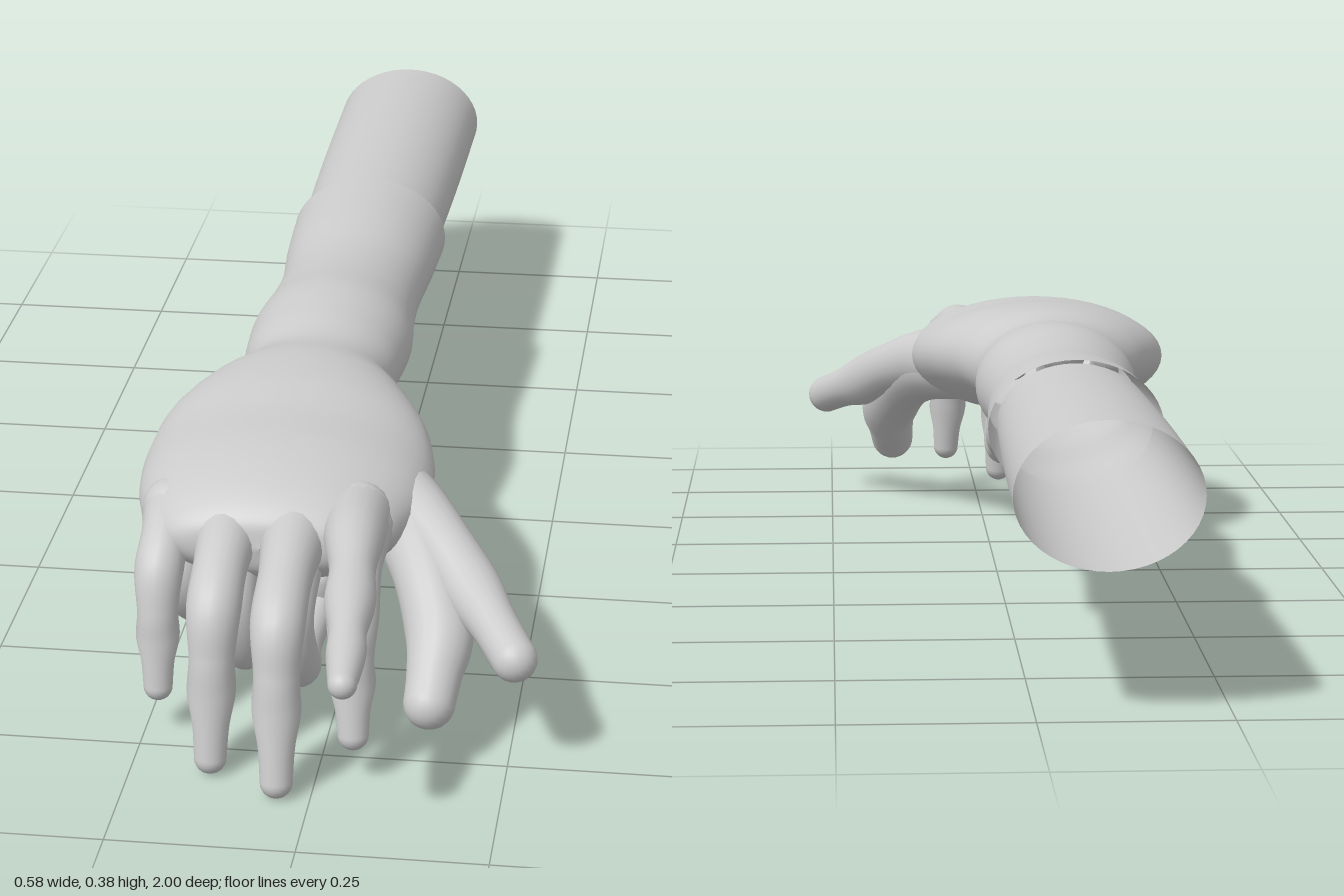
import * as THREE from 'three';
import { mergeGeometries } from 'three/addons/utils/BufferGeometryUtils.js';

const material = new THREE.MeshStandardMaterial({ color: 0xcccccc, side: THREE.DoubleSide });
const spline = (pts) => new THREE.CatmullRomCurve3(pts, false, 'catmullrom', 0.5);
const V = (x, y, z) => new THREE.Vector3(x, y, z);

// Smooth skin through sections [z, left x, right x, bottom y, top y]
function loft(sections, rows, cols = 48) {
  const low = spline(sections.map(([z, x0, , y0]) => V(x0, y0, z)));
  const high = spline(sections.map(([z, , x1, , y1]) => V(x1, y1, z)));
  const pos = [], idx = [];
  for (let i = 0; i <= rows; i++) {
    const a = low.getPoint(i / rows), b = high.getPoint(i / rows);
    for (let j = 0; j < cols; j++) {
      const t = (j / cols) * Math.PI * 2;
      const x = (a.x + b.x) / 2 + Math.cos(t) * (b.x - a.x) / 2;
      const y = (a.y + b.y) / 2 + Math.sin(t) * (b.y - a.y) / 2;
      pos.push(x, y, a.z);
      if (i < rows) {
        const p = i * cols + j, q = i * cols + (j + 1) % cols;
        idx.push(p, q, q + cols, p, q + cols, p + cols);
      }
    }
  }
  const g = new THREE.BufferGeometry();
  g.setAttribute('position', new THREE.Float32BufferAttribute(pos, 3));
  g.setIndex(idx);
  g.computeVertexNormals();
  return g;
}

// Round digit of varying thickness through points [x, y, z, radius], with rounded ends
function digit(points) {
  const path = spline(points.map(([x, y, z]) => V(x, y, z)));
  const girth = spline(points.map((p) => V(p[3], 0, 0)));
  const rows = 36, cols = 20;
  const tube = new THREE.TubeGeometry(path, rows, 1, cols, false);
  const pos = tube.attributes.position, v = new THREE.Vector3();
  for (let i = 0; i <= rows; i++) {
    const c = path.getPointAt(i / rows);
    const r = girth.getPoint(path.getUtoTmapping(i / rows)).x;
    for (let j = 0; j <= cols; j++) {
      const k = i * (cols + 1) + j;
      v.fromBufferAttribute(pos, k).sub(c).multiplyScalar(r).add(c);
      pos.setXYZ(k, v.x, v.y, v.z);
    }
  }
  const caps = [points[0], points[points.length - 1]].map(([x, y, z, r]) =>
    new THREE.SphereGeometry(r, 20, 14).translate(x, y, z));
  return mergeGeometries([tube, ...caps]);
}

export function createModel() {
  const model = new THREE.Group();
  const add = (name, geometry) => {
    const mesh = new THREE.Mesh(geometry, material);
    mesh.name = name;
    model.add(mesh);
  };

  // Open sleeve tube
  add('sleeve', loft([
    [-1, -0.21, 0.03, 0.195, 0.385],
    [-0.7, -0.207, 0.027, 0.2, 0.382],
    [-0.4, -0.2, 0.02, 0.205, 0.377],
  ], 12));

  // Forearm, wrist and palm as one skin
  add('forearmAndPalm', loft([
    [-0.44, -0.212, 0.034, 0.195, 0.387],
    [-0.32, -0.207, 0.029, 0.198, 0.381],
    [-0.2, -0.198, 0.022, 0.203, 0.372],
    [-0.1, -0.202, 0.024, 0.2, 0.375],
    [0, -0.211, 0.032, 0.197, 0.384],
    [0.09, -0.208, 0.026, 0.203, 0.379],
    [0.17, -0.2, 0.02, 0.212, 0.37],
    [0.25, -0.245, 0.055, 0.217, 0.38],
    [0.34, -0.28, 0.095, 0.205, 0.381],
    [0.43, -0.291, 0.115, 0.19, 0.373],
    [0.52, -0.286, 0.115, 0.188, 0.37],
    [0.59, -0.27, 0.095, 0.195, 0.36],
    [0.645, -0.245, 0.07, 0.212, 0.342],
    [0.68, -0.2, 0.02, 0.24, 0.315],
    [0.69, -0.092, -0.088, 0.276, 0.28],
  ], 112));

  // Hanging fingers: knuckle x, middle joint [x, y, z], tip [x, y, z], scale
  const hanging = [
    ['hangingLittleFinger', -0.225, 0.59, [-0.23, 0.22, 0.695], [-0.23, 0.075, 0.712], 0.9],
    ['hangingRingFinger', -0.14, 0.63, [-0.14, 0.215, 0.785], [-0.142, 0.027, 0.812], 1],
    ['hangingMiddleFinger', -0.05, 0.64, [-0.048, 0.22, 0.825], [-0.045, 0.027, 0.865], 1],
    ['hangingIndexFinger', 0.035, 0.62, [0.045, 0.215, 0.785], [0.05, 0.074, 0.81], 0.95],
  ];
  for (const [name, x, z, m, t, s] of hanging) {
    const at = (f, r) => [...m.map((c, i) => c + (t[i] - c) * f), r * s];
    add(name, digit([
      [x, 0.285, z, 0.048 * s],
      [(x + m[0]) / 2, 0.267, (z + m[2]) / 2, 0.037 * s],
      [m[0], m[1] + 0.015, m[2] - 0.012, 0.037 * s],
      at(0.25, 0.031), at(0.5, 0.033), at(0.75, 0.025), at(1, 0.022),
    ]));
  }

  // Straight index finger
  add('pointingIndexFinger', digit([
    [0.03, 0.295, 0.6, 0.046], [0.035, 0.298, 0.68, 0.041], [0.042, 0.286, 0.75, 0.031],
    [0.048, 0.275, 0.82, 0.034], [0.053, 0.263, 0.88, 0.025],
    [0.057, 0.255, 0.925, 0.026], [0.06, 0.244, 0.982, 0.019],
  ]));

  // Fingers folded back under the palm
  const folded = [
    ['foldedLittleFinger', -0.225, -0.2, 0.152, 0.61, 0.5, 0.9],
    ['foldedRingFinger', -0.14, -0.12, 0.115, 0.665, 0.52, 1],
    ['foldedMiddleFinger', -0.05, -0.045, 0.105, 0.69, 0.55, 1],
  ];
  for (const [name, x0, x1, y, z, zTip, s] of folded) {
    add(name, digit([
      [x0, 0.27, z - 0.05, 0.044 * s],
      [(x0 + x1) / 2, (0.27 + y) / 2, z + 0.015, 0.031 * s],
      [x1, y, z - 0.01, 0.034 * s],
      [x1, y - 0.002, (z + zTip) / 2, 0.027 * s],
      [x1 + 0.01, y + 0.025, zTip, 0.027 * s],
      [x1 + 0.012, y + 0.06, zTip - 0.005, 0.022 * s],
    ]));
  }

  // Two thumb poses sharing one root
  add('loweredThumb', digit([
    [0.04, 0.265, 0.44, 0.055], [0.09, 0.25, 0.53, 0.054], [0.125, 0.215, 0.61, 0.047],
    [0.15, 0.165, 0.68, 0.047], [0.148, 0.125, 0.725, 0.038], [0.145, 0.098, 0.757, 0.035],
  ]));
  add('spreadThumb', digit([
    [0.04, 0.27, 0.44, 0.055], [0.095, 0.265, 0.52, 0.05], [0.145, 0.245, 0.585, 0.042],
    [0.19, 0.215, 0.65, 0.042], [0.225, 0.195, 0.705, 0.033], [0.258, 0.175, 0.762, 0.031],
  ]));

  return model;
}
